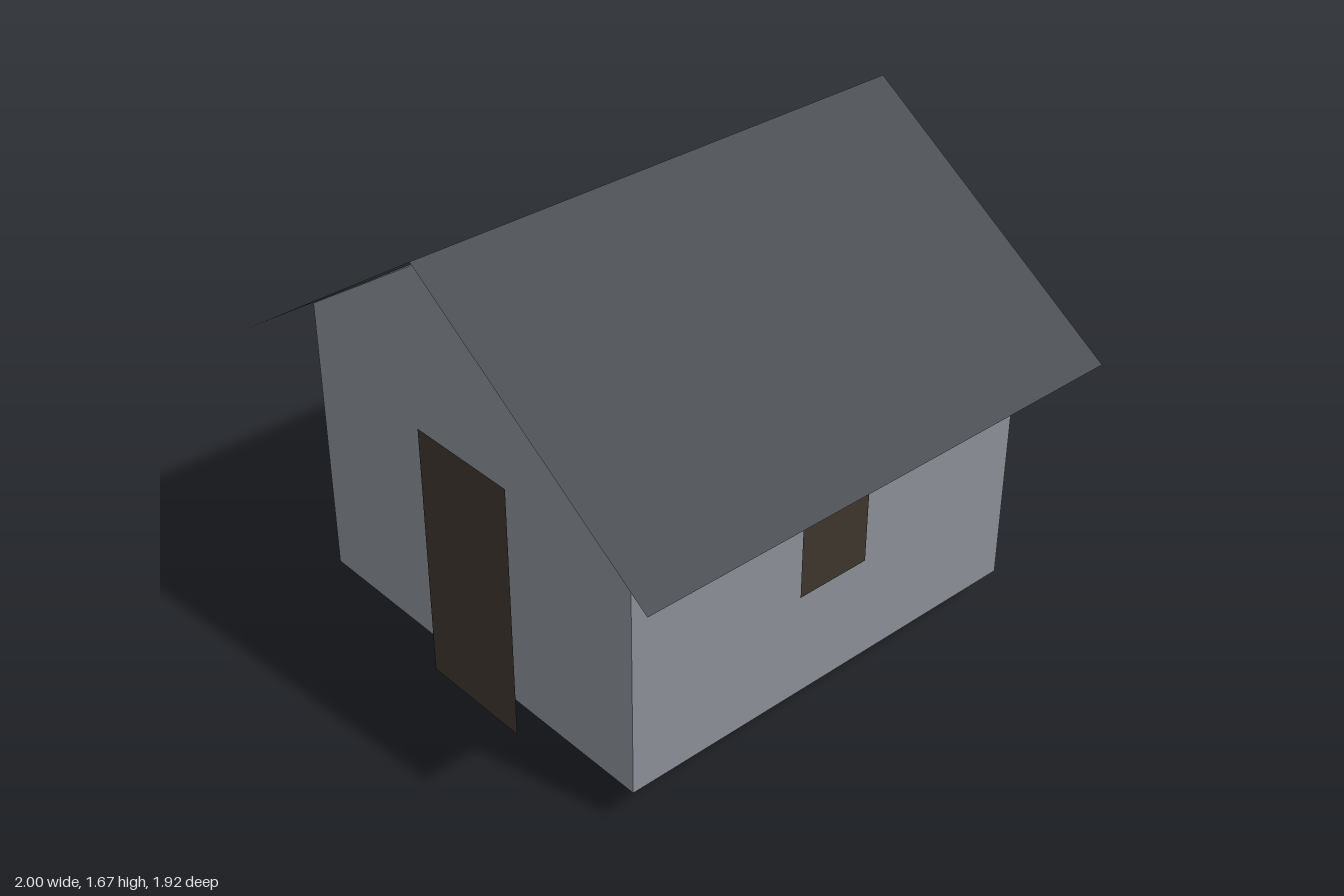
import * as THREE from 'three';

const HALF_W = 0.77, HALF_D = 0.82, BASE = 0.13, EAVE = 1.156, PEAK = 1.658;

function flat(name, color) {
  const m = new THREE.MeshStandardMaterial({ color, side: THREE.DoubleSide });
  m.name = name;
  return m;
}

export function createModel() {
  const group = new THREE.Group();
  group.name = 'house';
  const wall = flat('grey wall', 0x8a8e96);
  const roof = flat('dark slate', 0x4b4f53);
  const wood = flat('dark wood', 0x3d352d);

  const add = (name, geometry, material, x, y, z, turn = 0) => {
    const mesh = new THREE.Mesh(geometry, material);
    mesh.name = name;
    mesh.position.set(x, y, z);
    mesh.rotation.y = turn;
    group.add(mesh);
    return mesh;
  };

  // gable walls, front and back
  const gable = new THREE.ShapeGeometry(new THREE.Shape([
    new THREE.Vector2(-HALF_W, BASE),
    new THREE.Vector2(HALF_W, BASE),
    new THREE.Vector2(HALF_W, EAVE),
    new THREE.Vector2(0, PEAK),
    new THREE.Vector2(-HALF_W, EAVE),
  ]));
  add('frontWall', gable, wall, 0, 0, HALF_D);
  add('backWall', gable, wall, 0, 0, -HALF_D, Math.PI);

  // side walls; the bottom stays open
  const side = new THREE.PlaneGeometry(2 * HALF_D, EAVE - BASE);
  // thin roof slopes from ridge to overhanging eaves
  const ridgeY = 1.672, eaveY = 1.007;
  const slope = new THREE.PlaneGeometry(Math.hypot(1, ridgeY - eaveY), 1.92);
  slope.rotateX(-Math.PI / 2);
  const pitch = Math.atan(ridgeY - eaveY);
  for (const s of [-1, 1]) {
    const label = s > 0 ? 'left' : 'right';
    add(label + 'Wall', side, wall, s * HALF_W, (BASE + EAVE) / 2, 0, s * Math.PI / 2);
    add(label + 'Roof', slope, roof, s * 0.5, (ridgeY + eaveY) / 2, 0).rotation.z = -s * pitch;
  }

  // door reaching the ground, and a single side window
  add('door', new THREE.PlaneGeometry(0.434, 0.952), wood, 0, 0.476, HALF_D + 0.01);
  add('window', new THREE.PlaneGeometry(0.285, 0.362), wood, HALF_W + 0.008, 0.699, 0, Math.PI / 2);

  return group;
}
